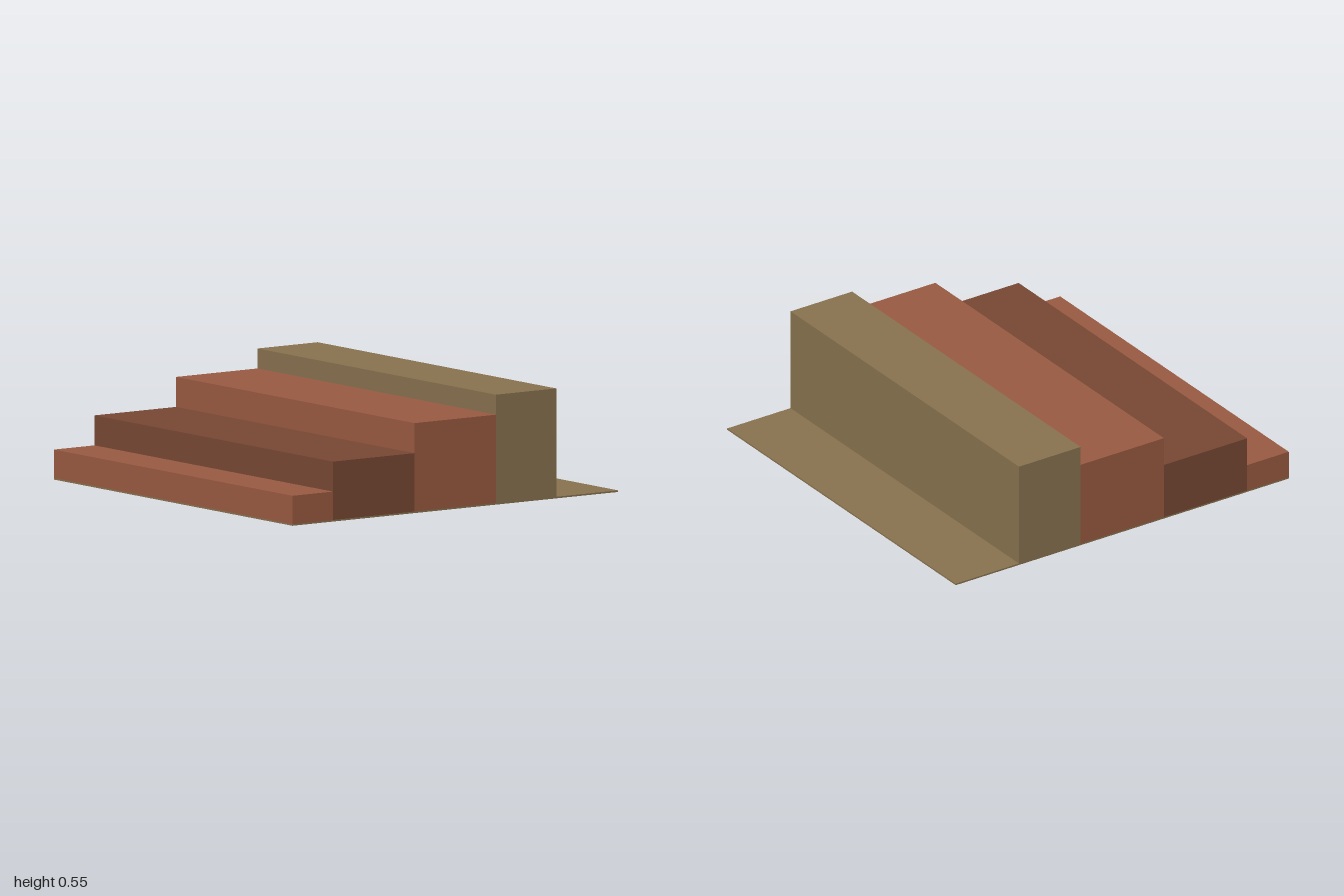
import * as THREE from 'three';

const BASE = 0.008; // thickness of the ground plate

export function createModel() {
  const model = new THREE.Group();
  const olive = new THREE.MeshStandardMaterial({ name: 'olive', color: 0x8a7350 });
  const rust = new THREE.MeshStandardMaterial({ name: 'rust', color: 0x9b5b42 });
  const brown = new THREE.MeshStandardMaterial({ name: 'brown', color: 0x794934 });

  // Full-depth block spanning x0..x1 and y0..y1
  function block(name, x0, x1, y0, y1, material) {
    const mesh = new THREE.Mesh(new THREE.BoxGeometry(x1 - x0, y1 - y0, 2), material);
    mesh.name = name;
    mesh.position.set((x0 + x1) / 2, (y0 + y1) / 2, 0);
    model.add(mesh);
  }

  // Thin plate under everything
  block('basePlate', -1, 1, 0, BASE, olive);

  // Steps rising toward +x
  block('lowStep', -1, -0.75, BASE, 0.15, rust);
  block('middleStep', -0.75, -0.25, BASE, 0.3, brown);
  block('highStep', -0.25, 0.25, BASE, 0.45, rust);
  block('topWall', 0.25, 0.62, BASE, 0.55, olive);

  return model;
}
